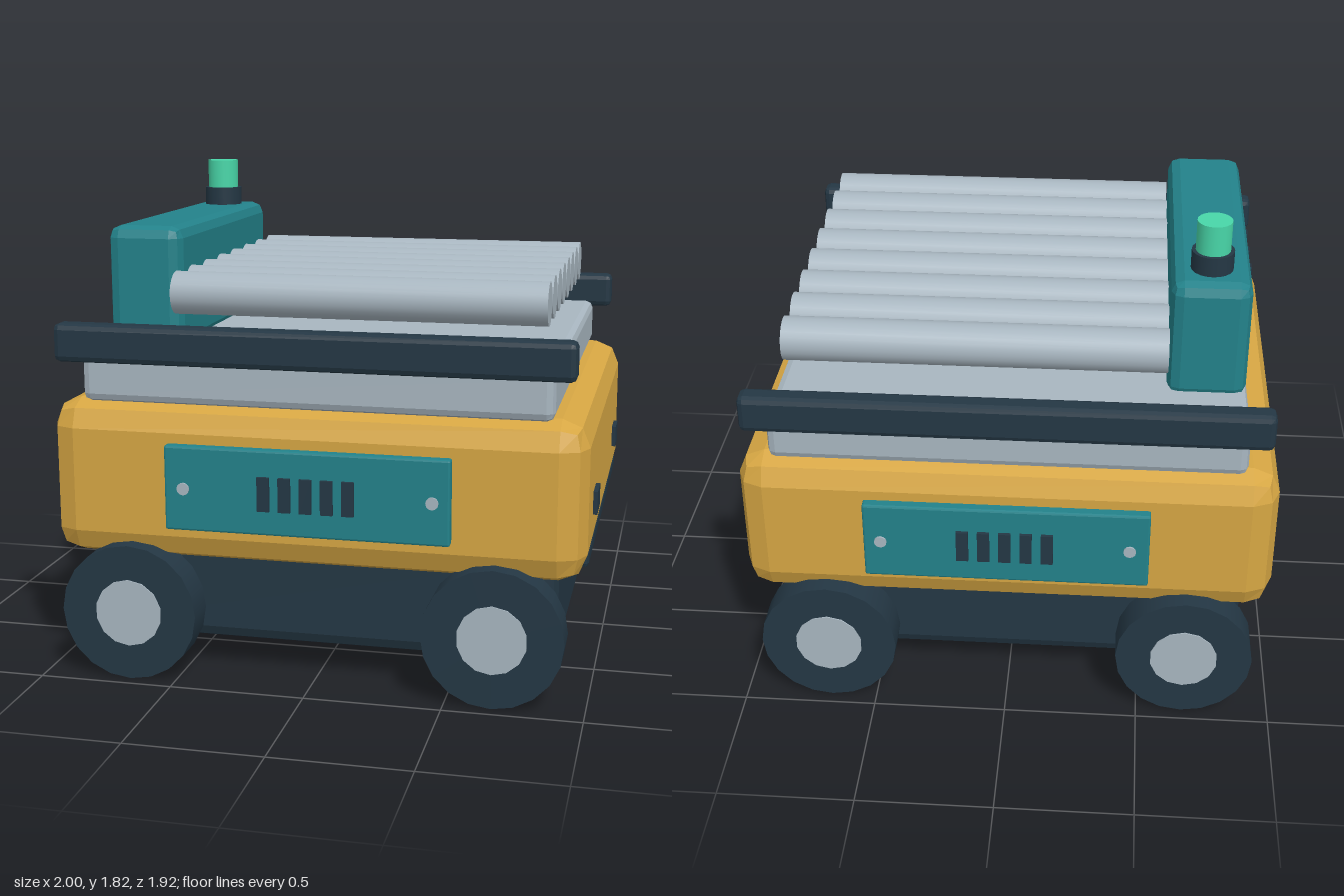
import * as THREE from 'three';
import { RoundedBoxGeometry } from 'three/addons/geometries/RoundedBoxGeometry.js';

const paint = (name, color) => {
  const m = new THREE.MeshStandardMaterial({ color });
  m.name = name;
  return m;
};

export function createModel() {
  const yellow = paint('yellow', 0xd6a643);
  const teal = paint('teal', 0x23828a);
  const dark = paint('dark slate', 0x243744);
  const grey = paint('metal grey', 0xa8b6c0);
  const green = paint('signal green', 0x48d6a8);

  const model = new THREE.Group();
  model.name = 'rollerCart';

  const add = (name, geo, mat, x, y, z, parent = model) => {
    const mesh = new THREE.Mesh(geo, mat);
    mesh.name = name;
    mesh.position.set(x, y, z);
    parent.add(mesh);
    return mesh;
  };
  const box = (w, h, d) => new THREE.BoxGeometry(w, h, d);
  // box with two flat bevel facets on every edge
  const bevelBox = (w, h, d, r) => {
    const g = new RoundedBoxGeometry(w, h, d, 1, r);
    g.computeVertexNormals();
    return g;
  };
  const cyl = (r, h, sides) => new THREE.CylinderGeometry(r, r, h, sides);

  // stacked hull
  add('chassis', bevelBox(1.76, 0.44, 1.55, 0.05), dark, 0, 0.33, 0);
  add('body', bevelBox(1.968, 0.585, 1.806, 0.1), yellow, 0, 0.735, 0);
  add('deck', bevelBox(1.725, 0.18, 1.71, 0.03), grey, 0, 1.11, 0);

  // wheels with hubs
  for (const sx of [-1, 1]) for (const sz of [-1, 1]) {
    const wheel = new THREE.Group();
    wheel.name = 'wheel';
    wheel.position.set(sx * 0.67, 0.255, sz * 0.888);
    wheel.rotation.x = sz * Math.PI / 2;
    model.add(wheel);
    add('tyre', cyl(0.255, 0.13, 20), dark, 0, 0, 0, wheel);
    add('hub', cyl(0.126, 0.02, 14), grey, 0, 0.06, 0, wheel);
  }

  // long sides: guard rail and vented service panel
  for (const sz of [-1, 1]) {
    add('guardRail', bevelBox(1.88, 0.14, 0.088, 0.022), dark, 0, 1.245, sz * 0.882);
    add('servicePanel', bevelBox(1.04, 0.312, 0.05, 0.008), teal, -0.004, 0.735, sz * 0.915);
    for (let i = -2; i <= 2; i++)
      add('panelVent', box(0.044, 0.125, 0.03), dark, i * 0.077, 0.733, sz * 0.938);
    for (const sx of [-1, 1])
      add('panelScrew', cyl(0.023, 0.02, 12), grey, sx * 0.453, 0.735, sz * 0.937).rotation.x = Math.PI / 2;
  }

  // ends: bumper strip and two sensor windows
  for (const sx of [-1, 1]) {
    add('bumper', bevelBox(0.07, 0.07, 1.49, 0.018), dark, sx * 0.949, 0.507, 0);
    for (const sz of [-1, 1])
      add('sensor', box(0.04, 0.085, 0.127), dark, sx * 0.98, 0.673, sz * 0.532);
  }

  // rollers on the deck
  for (let i = 0; i < 8; i++)
    add('roller', cyl(0.08, 1.38, 24), grey, 0.125, 1.4, (i - 3.5) * 0.181).rotation.z = Math.PI / 2;

  // control console with vents and signal lamp
  add('console', bevelBox(0.288, 0.465, 1.17, 0.045), teal, -0.711, 1.402, 0);
  for (const z of [-0.148, 0, 0.148])
    add('consoleVent', box(0.03, 0.175, 0.048), dark, -0.862, 1.412, z);
  add('lampBase', cyl(0.077, 0.08, 20), dark, -0.711, 1.667, -0.434);
  add('lamp', cyl(0.063, 0.12, 20), green, -0.711, 1.762, -0.434);

  return model;
}
